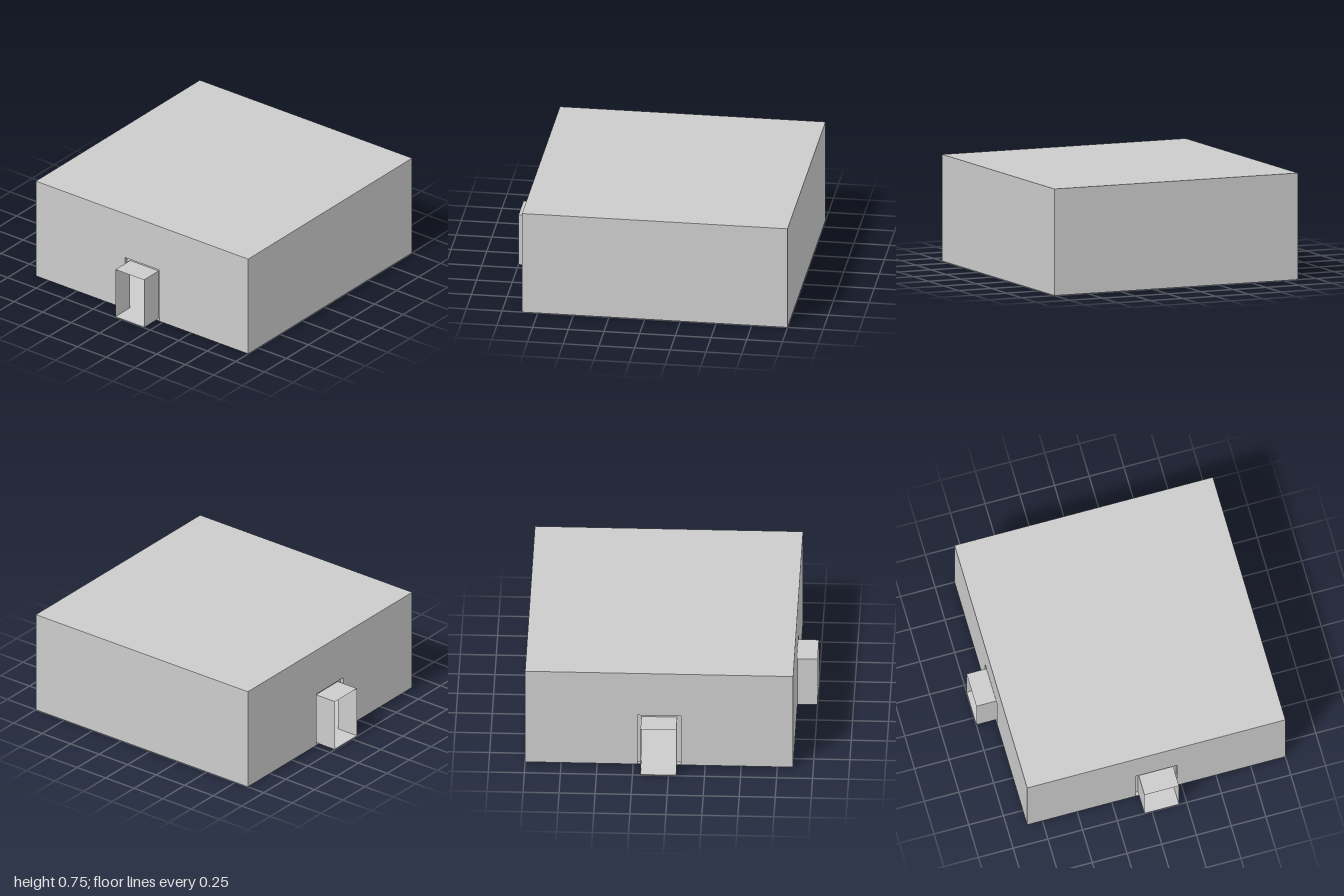
import * as THREE from 'three';

const HALF = 0.93;     // half the outer width of the room
const HEIGHT = 0.747;  // outer height
const WALL = 0.027;    // wall thickness
const FLOOR = 0.005;   // floor plate thickness
const END = 1.07;      // outer end of a passage, from the room's centre
const DOOR = { half: 0.124, top: 0.376 };
const RECESS = { half: DOOR.half + WALL, top: DOOR.top + WALL };

const material = new THREE.MeshStandardMaterial({ color: 0xcccccc, side: THREE.DoubleSide });

function add(parent, name, geometry) {
  const mesh = new THREE.Mesh(geometry, material);
  mesh.name = name;
  parent.add(mesh);
  return mesh;
}

// Upright wall face at depth z, with a doorway cut up from the floor if given
function wallFace(parent, name, half, top, z, door) {
  const points = [[-half, FLOOR]];
  if (door) {
    points.push([-door.half, FLOOR], [-door.half, door.top], [door.half, door.top], [door.half, FLOOR]);
  }
  points.push([half, FLOOR], [half, top], [-half, top]);
  const shape = new THREE.Shape(points.map(([x, y]) => new THREE.Vector2(x, y)));
  add(parent, name, new THREE.ShapeGeometry(shape)).position.z = z;
}

// Two sides and a top running from z0 to z1 around a doorway
function surround(parent, name, door, z0, z1) {
  const group = new THREE.Group();
  group.name = name;
  const depth = z1 - z0, height = door.top - FLOOR, z = (z0 + z1) / 2;
  for (const side of [-1, 1]) {
    const g = new THREE.PlaneGeometry(depth, height).rotateY(side * Math.PI / 2);
    add(group, 'side', g).position.set(side * door.half, FLOOR + height / 2, z);
  }
  add(group, 'top', new THREE.PlaneGeometry(door.half * 2, depth).rotateX(-Math.PI / 2))
    .position.set(0, door.top, z);
  parent.add(group);
}

// Horizontal square sheet
function sheet(parent, name, half, y) {
  add(parent, name, new THREE.PlaneGeometry(half * 2, half * 2).rotateX(-Math.PI / 2)).position.y = y;
}

export function createModel() {
  const model = new THREE.Group();
  const room = new THREE.Group();
  room.name = 'room';
  room.position.set(0.07, 0, -0.07);
  model.add(room);

  // Four walls; the front and the -x wall each have an open passage
  const inner = HALF - WALL;
  ['front', 'left', 'back', 'right'].forEach((name, i) => {
    const wall = new THREE.Group();
    wall.name = name + 'Wall';
    wall.rotation.y = i * Math.PI / 2;
    const open = name === 'front' || name === 'right';
    wallFace(wall, 'outerFace', HALF, HEIGHT, HALF, open && RECESS);
    wallFace(wall, 'innerFace', inner, HEIGHT - WALL, inner, open && DOOR);
    if (open) {
      surround(wall, 'doorRecess', RECESS, inner, HALF);
      surround(wall, 'passage', DOOR, inner, END);
    }
    room.add(wall);
  });

  // Roof and ceiling
  sheet(room, 'roof', HALF, HEIGHT);
  sheet(room, 'ceiling', inner, HEIGHT - WALL);

  // One floor plate under the room and both passages (shape y becomes -z)
  const d = DOOR.half;
  const outline = [
    [-HALF, -HALF], [-d, -HALF], [-d, -END], [d, -END], [d, -HALF], [HALF, -HALF],
    [HALF, HALF], [-HALF, HALF], [-HALF, d], [-END, d], [-END, -d], [-HALF, -d],
  ].map(([x, y]) => new THREE.Vector2(x, y));
  const plate = new THREE.ExtrudeGeometry(new THREE.Shape(outline), { depth: FLOOR, bevelEnabled: false });
  add(room, 'floor', plate.rotateX(-Math.PI / 2));

  return model;
}
